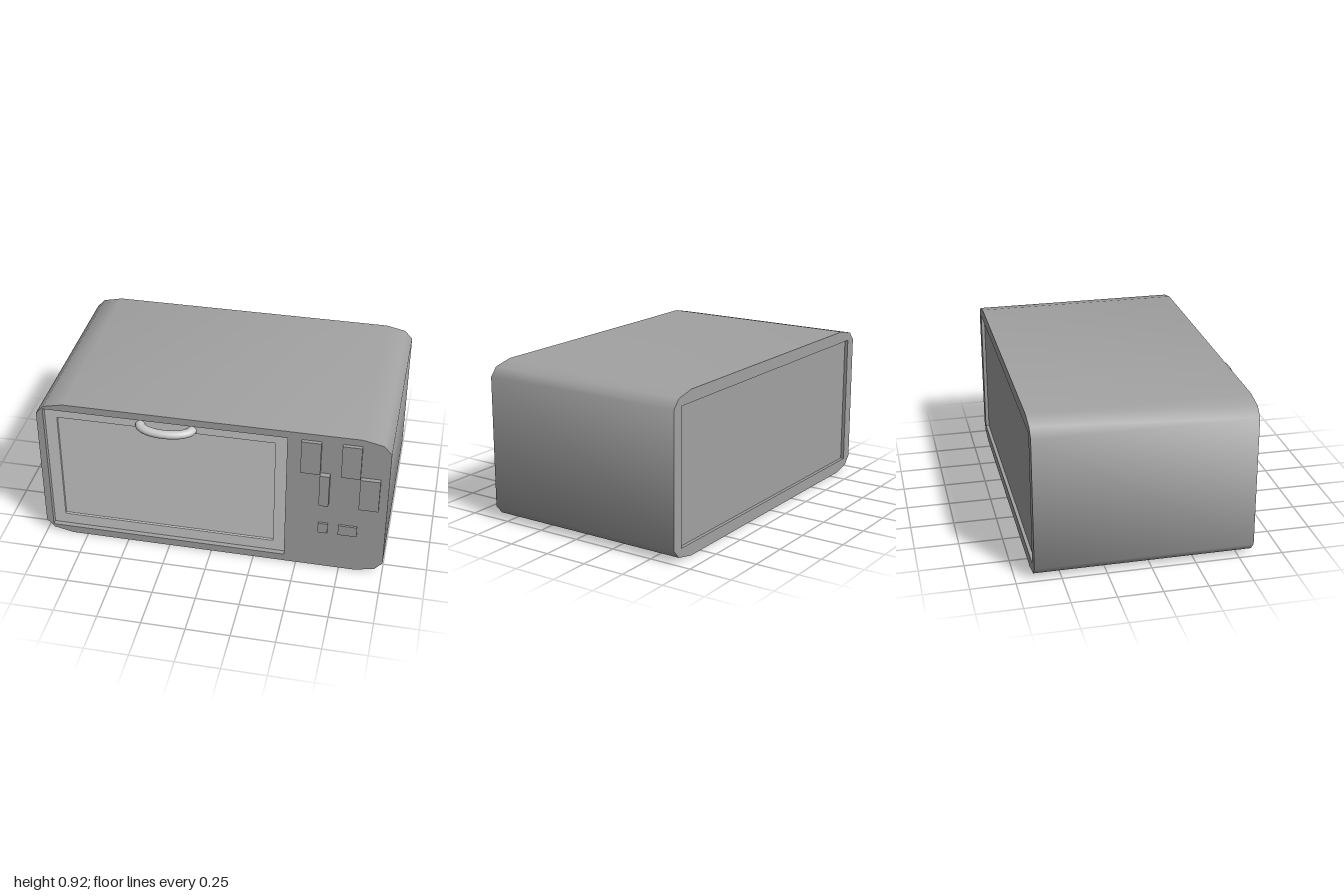
import * as THREE from 'three';
import { toCreasedNormals } from 'three/addons/utils/BufferGeometryUtils.js';

const BODY = new THREE.MeshStandardMaterial({ color: 0xa2a2a2 });
const DOOR = new THREE.MeshStandardMaterial({ color: 0xcccccc });

const FRONT = 0.58, BACK = -0.65;

// counter-clockwise rectangle outline
const rect = (x0, x1, y0, y1) => [[x0, y0], [x1, y0], [x1, y1], [x0, y1]]
  .map(([x, y]) => new THREE.Vector2(x, y));

// walls standing along an outline between two depths; inward flips them for recesses
function walls(outline, z0, z1, inward = false) {
  const pts = inward ? [...outline].reverse() : outline;
  const pos = [];
  pts.forEach((a, i) => {
    const b = pts[(i + 1) % pts.length];
    pos.push(a.x, a.y, z0, b.x, b.y, z0, b.x, b.y, z1);
    pos.push(a.x, a.y, z0, b.x, b.y, z1, a.x, a.y, z1);
  });
  const geo = new THREE.BufferGeometry();
  geo.setAttribute('position', new THREE.Float32BufferAttribute(pos, 3));
  return toCreasedNormals(geo, THREE.MathUtils.degToRad(50));
}

// flat face with an optional hole
function face(outline, z, hole, backward = false) {
  const shape = new THREE.Shape(outline);
  if (hole) shape.holes.push(new THREE.Path(hole));
  const geo = new THREE.ShapeGeometry(shape);
  if (backward) geo.rotateY(Math.PI); // outlines on the back are symmetric in x
  return geo.translate(0, 0, z);
}

export function createModel() {
  const root = new THREE.Group();
  const add = (name, geo, mat, parent = root) => {
    const mesh = new THREE.Mesh(geo, mat);
    mesh.name = name;
    parent.add(mesh);
    return mesh;
  };

  // cabinet outline with chamfered corners
  const half = [[0.84, 0], [0.955, 0.025], [1, 0.075], [1, 0.84], [0.955, 0.89], [0.84, 0.915]];
  const outline = [...half, ...half.map(([x, y]) => [-x, y]).reverse()]
    .map(([x, y]) => new THREE.Vector2(x, y));
  const doorway = rect(-0.96, 0.43, 0.045, 0.872);
  const windowEdge = rect(-0.89, 0.36, 0.113, 0.805);
  const backEdge = rect(-0.93, 0.93, 0.07, 0.845);
  const doorZ = FRONT - 0.03, windowZ = doorZ - 0.015, backZ = BACK + 0.02;

  const cabinet = new THREE.Group();
  cabinet.name = 'cabinet';
  root.add(cabinet);
  add('shell', walls(outline, BACK, FRONT), BODY, cabinet);
  add('frontFace', face(outline, FRONT, doorway), BODY, cabinet);
  add('doorRecess', walls(doorway, doorZ, FRONT, true), BODY, cabinet);
  add('backRim', face(outline, BACK, backEdge, true), BODY, cabinet);
  add('backRecess', walls(backEdge, BACK, backZ, true), BODY, cabinet);
  add('backPanel', face(backEdge, backZ, null, true), BODY, cabinet);

  // door with sunken window
  const door = new THREE.Group();
  door.name = 'door';
  root.add(door);
  add('doorFrame', face(doorway, doorZ, windowEdge), DOOR, door);
  add('windowRecess', walls(windowEdge, windowZ, doorZ, true), DOOR, door);
  add('windowPane', face(windowEdge, windowZ), DOOR, door);

  // bowed handle
  const arc = [];
  for (let i = 0; i <= 24; i++) {
    const a = Math.PI * i / 24;
    arc.push(new THREE.Vector3(-0.1475 * Math.cos(a), 0, 0.073 * Math.sin(a)));
  }
  const bow = new THREE.TubeGeometry(new THREE.CatmullRomCurve3(arc), 40, 0.0275, 16);
  bow.scale(1, 0.84, 1);
  add('handle', bow, DOOR, door).position.set(-0.255, 0.828, doorZ);

  // control buttons: x range, y range, front depth
  [
    [0.51, 0.62, 0.665, 0.873, 0.602],
    [0.735, 0.842, 0.665, 0.873, 0.602],
    [0.62, 0.675, 0.46, 0.665, 0.613],
    [0.843, 0.953, 0.46, 0.665, 0.606],
    [0.62, 0.675, 0.252, 0.318, 0.592],
    [0.735, 0.842, 0.252, 0.318, 0.592],
  ].forEach(([x0, x1, y0, y1, z], i) => {
    const back = FRONT - 0.005;
    add(`button${i + 1}`, new THREE.BoxGeometry(x1 - x0, y1 - y0, z - back), BODY)
      .position.set((x0 + x1) / 2, (y0 + y1) / 2, (z + back) / 2);
  });

  return root;
}
